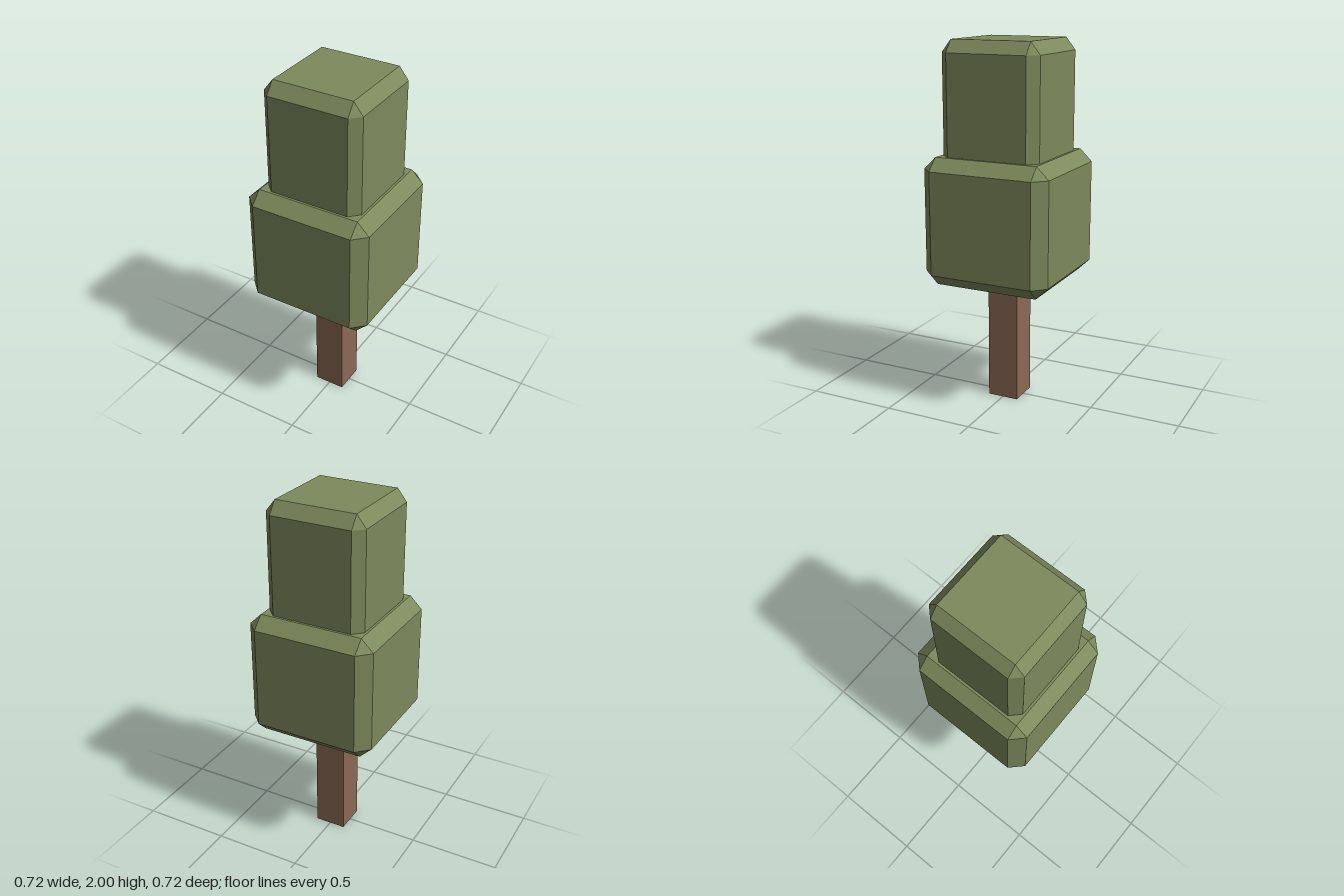
import * as THREE from 'three';
import { ConvexGeometry } from 'three/addons/geometries/ConvexGeometry.js';

const foliage = new THREE.MeshStandardMaterial({ color: 0x7d8a5c, flatShading: true });
foliage.name = 'foliage green';
const bark = new THREE.MeshStandardMaterial({ color: 0x8b6854, flatShading: true, side: THREE.DoubleSide });
bark.name = 'bark brown';

// Box with every edge and corner cut flat; three points per corner.
function chamferedBox(halfWidth, height, cutXZ, cutY) {
  const w = halfWidth, wi = halfWidth - cutXZ;
  const h = height / 2, hi = h - cutY;
  const points = [];
  for (const sx of [-1, 1]) for (const sy of [-1, 1]) for (const sz of [-1, 1]) {
    for (const [x, y, z] of [[w, hi, wi], [wi, h, wi], [wi, hi, w]]) {
      points.push(new THREE.Vector3(sx * x, sy * y, sz * z));
    }
  }
  return new ConvexGeometry(points);
}

export function createModel() {
  const tree = new THREE.Group();
  tree.name = 'blockTree';

  const add = (name, geometry, material, y) => {
    const mesh = new THREE.Mesh(geometry, material);
    mesh.name = name;
    mesh.position.y = y;
    tree.add(mesh);
  };

  // Square trunk, open at its ends, reaching just into the foliage
  const trunkHeight = 0.72;
  const trunk = new THREE.CylinderGeometry(0.0875 * Math.SQRT2, 0.0875 * Math.SQRT2, trunkHeight, 4, 1, true);
  trunk.rotateY(Math.PI / 4);
  add('trunk', trunk, bark, trunkHeight / 2);

  // Two stacked foliage blocks; the upper one sinks into the lower
  add('lowerFoliage', chamferedBox(0.361, 0.7, 0.069, 0.067), foliage, 1.042);
  add('upperFoliage', chamferedBox(0.279, 0.7, 0.053, 0.067), foliage, 1.65);

  return tree;
}
